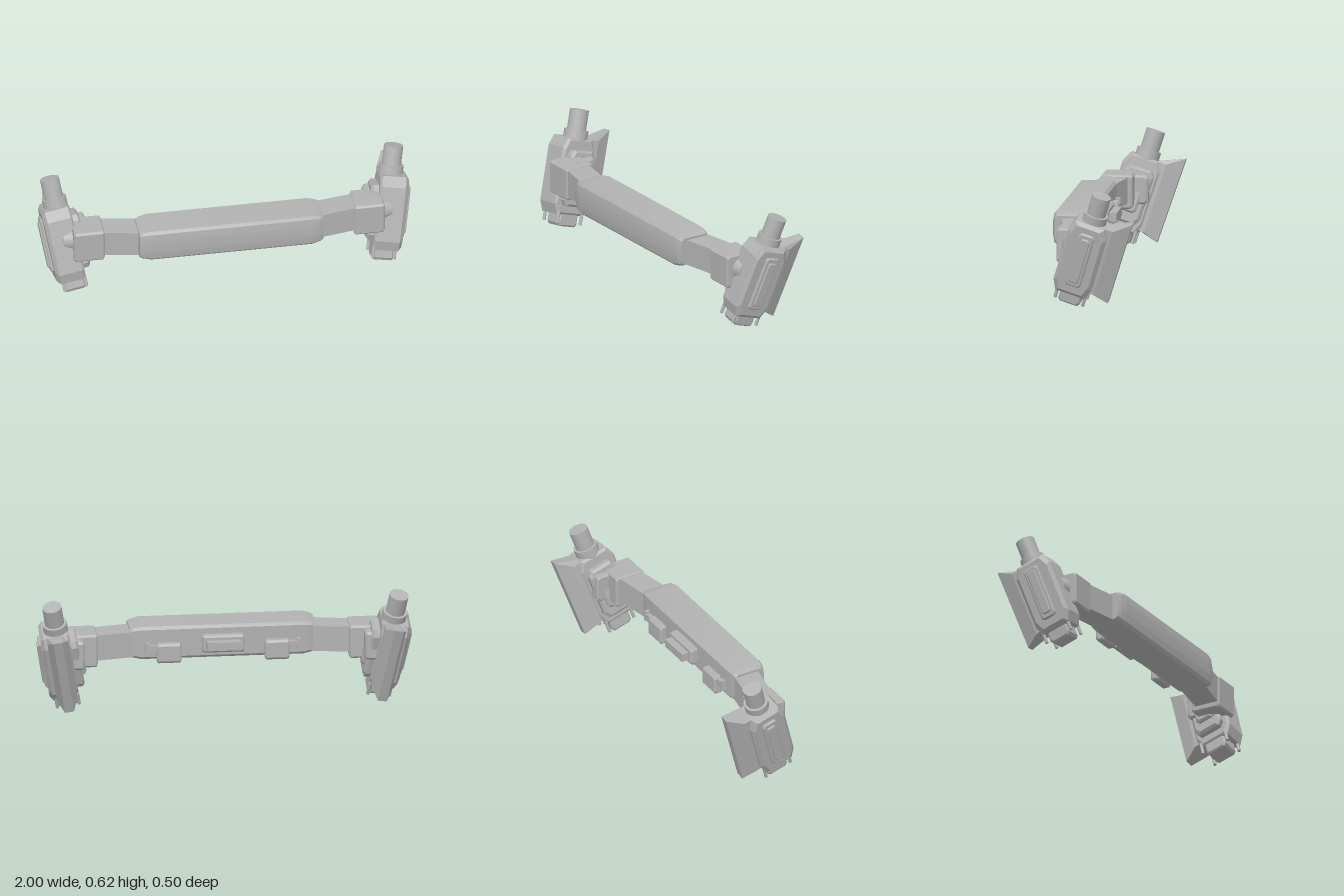
import * as THREE from 'three';
import { toCreasedNormals } from 'three/addons/utils/BufferGeometryUtils.js';

const grey = new THREE.MeshStandardMaterial({ color: 0xb2b2b2 });
grey.name = 'plain grey';

// Skins cross-sections along x; each ring is { x, pts: [[y, z], ...] }
function loft(rings, crease = 0.3) {
  if (rings[0].x > rings[rings.length - 1].x) rings = [...rings].reverse();
  const pos = [];
  const n = rings[0].pts.length;
  const at = (r, i) => [r.x, ...r.pts[i % n]];
  const tri = (...p) => p.forEach((q) => pos.push(...q));
  for (let k = 0; k + 1 < rings.length; k++) {
    for (let i = 0; i < n; i++) {
      const a = at(rings[k], i), b = at(rings[k], i + 1);
      const c = at(rings[k + 1], i + 1), d = at(rings[k + 1], i);
      tri(a, b, c);
      tri(a, c, d);
    }
  }
  const first = rings[0], last = rings[rings.length - 1];
  for (let i = 1; i + 1 < n; i++) {
    tri(at(last, 0), at(last, i), at(last, i + 1));
    tri(at(first, 0), at(first, i + 1), at(first, i));
  }
  const g = new THREE.BufferGeometry();
  g.setAttribute('position', new THREE.Float32BufferAttribute(pos, 3));
  return toCreasedNormals(g, crease);
}

// Rectangle in the y-z plane with cut corners
function cutRect(y0, y1, z0, z1, cy, cz = cy) {
  return [
    [y1, z0 + cz], [y1, z1 - cz], [y1 - cy, z1], [y0 + cy, z1],
    [y0, z1 - cz], [y0, z0 + cz], [y0 + cy, z0], [y1 - cy, z0],
  ];
}

// Cut-corner slab from x0 to x1, with edges bevelled by b0 at x0 and b1 at x1
function slab(s, x0, x1, [y0, y1, z0, z1], cy, cz, b0, b1) {
  const d = Math.sign(x1 - x0);
  const ring = (x, i) => ({ x: s * x, pts: cutRect(y0 + i, y1 - i, z0 + i, z1 - i, cy, cz) });
  const rings = [];
  if (b0) rings.push(ring(x0, b0));
  rings.push(ring(x0 + d * b0, 0), ring(x1 - d * b1, 0));
  if (b1) rings.push(ring(x1, b1));
  return loft(rings);
}

function add(parent, name, geometry, x = 0, y = 0, z = 0) {
  const mesh = new THREE.Mesh(geometry, grey);
  mesh.name = name;
  mesh.position.set(x, y, z);
  parent.add(mesh);
  return mesh;
}

// Tilted end pod, built about its own long axis (y); s is the side
function makePod(s) {
  const pod = new THREE.Group();
  pod.name = s > 0 ? 'leftPod' : 'rightPod';
  pod.position.set(s * 0.865, 0.285, 0.02);
  pod.rotation.set(-0.305, 0, s * -0.165);

  add(pod, 'podBody', slab(s, -0.065, 0.09, [-0.21, 0.2, -0.102, 0.108], 0.055, 0.025, 0.012, 0.018));
  add(pod, 'outerPanel', slab(s, 0.085, 0.104, [-0.152, 0.152, -0.043, 0.043], 0.012, 0.012, 0, 0.006));
  add(pod, 'outerPanelRidge', slab(s, 0.1, 0.114, [-0.127, 0.127, -0.025, 0.025], 0.008, 0.008, 0, 0.004));
  add(pod, 'innerPanel', slab(s, -0.06, -0.105, [-0.16, 0.14, -0.08, 0.08], 0.03, 0.02, 0, 0.012));
  add(pod, 'innerPanelRidge', slab(s, -0.1, -0.125, [-0.1, 0.08, -0.05, 0.055], 0.015, 0.015, 0, 0.01));

  // Rear fin, thinning towards its trailing edge
  const wide = [[0.198, -0.12], [0.198, -0.063], [-0.176, -0.08], [-0.18, -0.12]];
  const full = [[0.258, -0.205], [0.198, -0.063], [-0.176, -0.08], [-0.21, -0.2]];
  add(pod, 'rearFin', loft([
    { x: -0.055, pts: wide }, { x: -0.024, pts: full },
    { x: 0.024, pts: full }, { x: 0.055, pts: wide },
  ], 0.1));

  // Top post in its collar
  add(pod, 'collar', new THREE.CylinderGeometry(0.065, 0.065, 0.07, 32), 0, 0.207, -0.004);
  add(pod, 'post', new THREE.CylinderGeometry(0.051, 0.051, 0.13, 32), 0, 0.284, -0.004);

  // Bottom plug and its four pins
  add(pod, 'bottomPlug', slab(s, -0.056, 0.056, [-0.272, -0.19, -0.062, 0.058], 0.015, 0.012, 0.008, 0.008));
  for (const x of [-0.058, 0.058]) {
    for (const z of [-0.08, 0.074]) {
      add(pod, 'bottomPin', new THREE.CylinderGeometry(0.009, 0.009, 0.07, 12), x, -0.222, z);
    }
  }
  return pod;
}

export function createModel() {
  const model = new THREE.Group();
  model.name = 'crossbarWithPods';

  // Central bar with a bowed front face and tapered ends
  const profile = [
    [0.09, -0.085], [0.09, 0.085], [0.075, 0.097], [0.035, 0.103], [-0.035, 0.103],
    [-0.075, 0.097], [-0.09, 0.082], [-0.09, -0.085], [-0.075, -0.1], [0.075, -0.1],
  ];
  const barRing = (x, k) => ({ x, pts: profile.map(([y, z]) => [0.34 + y * k, 0.147 + z * k]) });
  add(model, 'centralBar', loft([
    barRing(-0.492, 0.83), barRing(-0.475, 0.91), barRing(-0.43, 1),
    barRing(0.43, 1), barRing(0.475, 0.91), barRing(0.492, 0.83),
  ], 0.25));

  // Stepped box in the middle of the bar's back
  const box = (w, h, d) => new THREE.BoxGeometry(w, h, d);
  add(model, 'rearBoxBase', slab(1, -0.112, 0.112, [0.29, 0.385, 0.005, 0.06], 0.01, 0.01, 0.008, 0.008));
  add(model, 'rearBoxLid', box(0.18, 0.045, 0.05), 0, 0.338, -0.011);

  for (const s of [1, -1]) {
    // Latch on the bar's back
    add(model, 'latch', slab(s, 0.222, 0.352, [0.238, 0.345, 0.01, 0.065], 0.012, 0.01, 0.008, 0.008));
    add(model, 'latchTab', box(0.07, 0.03, 0.03), s * 0.375, 0.32, 0.038);
    add(model, 'latchTabEnd', box(0.018, 0.055, 0.032), s * 0.402, 0.32, 0.036);

    // Swept arm between the bar and the bracket
    const armRing = (x, z0, z1) => ({ x: s * x, pts: [[0.403, z0], [0.403, z1], [0.263, z1], [0.263, z0]] });
    add(model, 'arm', loft([armRing(0.47, 0.06, 0.2), armRing(0.69, 0.022, 0.158)]));

    // Bracket and pivot joining the arm to the pod
    add(model, 'bracket', slab(s, 0.668, 0.832, [0.233, 0.413, 0.0, 0.17], 0.01, 0.01, 0.008, 0.008));
    add(model, 'bracketBack', slab(s, 0.745, 0.85, [0.245, 0.4, -0.07, 0.02], 0.012, 0.012, 0.01, 0));
    const pivot = add(model, 'pivot', new THREE.CylinderGeometry(0.05, 0.066, 0.06, 32), s * 0.85, 0.33, 0.075);
    pivot.rotation.z = -s * Math.PI / 2;

    model.add(makePod(s));
  }
  return model;
}
